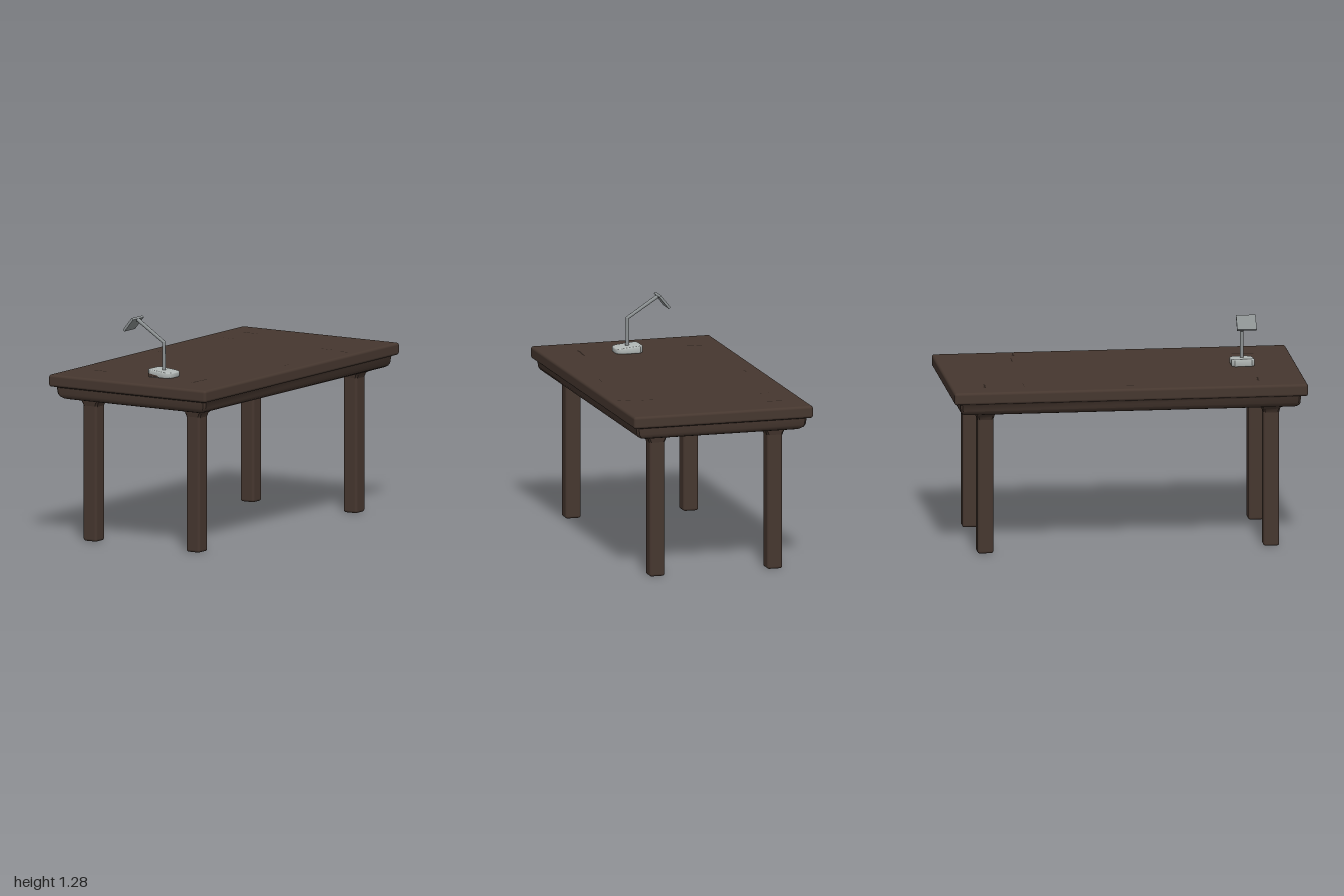
import * as THREE from 'three';
import { toCreasedNormals } from 'three/addons/utils/BufferGeometryUtils.js';
import { RoundedBoxGeometry } from 'three/addons/geometries/RoundedBoxGeometry.js';

const material = (name, color) => {
  const m = new THREE.MeshStandardMaterial({ color });
  m.name = name;
  return m;
};

// Stack of chamfered rectangles; each ring is [y, halfX, halfZ], bottom to top
function loft(rings, chamfer) {
  const pos = [], idx = [];
  const n = 8;
  for (const [y, a, b] of rings) {
    const c = chamfer;
    for (const [x, z] of [[a, b - c], [a, c - b], [a - c, -b], [c - a, -b],
      [-a, c - b], [-a, b - c], [c - a, b], [a - c, b]]) pos.push(x, y, z);
  }
  for (let r = 0; r < rings.length - 1; r++) {
    for (let i = 0; i < n; i++) {
      const p = r * n + i, q = r * n + (i + 1) % n;
      idx.push(p, q, q + n, p, q + n, p + n);
    }
  }
  const top = (rings.length - 1) * n;
  for (let i = 1; i < n - 1; i++) {
    idx.push(0, i + 1, i);
    idx.push(top, top + i, top + i + 1);
  }
  const g = new THREE.BufferGeometry();
  g.setAttribute('position', new THREE.Float32BufferAttribute(pos, 3));
  g.setIndex(idx);
  return toCreasedNormals(g, 0.7);
}

export function createModel() {
  const model = new THREE.Group();
  model.name = 'tableWithLamp';
  const wood = material('darkWood', 0x46372f);
  const crackWood = material('crackWood', 0x2a201b);
  const metal = material('greyMetal', 0x8c9192);
  const paleMetal = material('paleMetal', 0xb2b8b6);

  const add = (parent, name, geometry, mat, x = 0, y = 0, z = 0) => {
    const mesh = new THREE.Mesh(geometry, mat);
    mesh.name = name;
    mesh.position.set(x, y, z);
    parent.add(mesh);
    return mesh;
  };

  // Table top and the moulding beneath it
  add(model, 'tableTop', new RoundedBoxGeometry(1.052, 0.069, 2, 3, 0.015), wood, 0, 0.919, 0);
  add(model, 'moulding', loft([
    [0.812, 0.45, 0.93], [0.817, 0.468, 0.945], [0.827, 0.485, 0.955],
    [0.842, 0.495, 0.96], [0.878, 0.5, 0.963], [0.892, 0.512, 0.98],
  ], 0.012), wood);

  // Four legs with flared collars
  const legShape = new RoundedBoxGeometry(0.09, 0.83, 0.09, 3, 0.014);
  const collarShape = loft([
    [0.765, 0.044, 0.044], [0.79, 0.053, 0.049], [0.815, 0.085, 0.054],
  ], 0.01);
  for (const sx of [-1, 1]) {
    for (const sz of [-1, 1]) {
      const leg = new THREE.Group();
      leg.name = (sz > 0 ? 'front' : 'back') + (sx > 0 ? 'Left' : 'Right') + 'Leg';
      leg.position.set(sx * 0.345, 0, sz * 0.808);
      add(leg, 'post', legShape, wood, 0, 0.415, 0);
      add(leg, 'collar', collarShape, wood);
      model.add(leg);
    }
  }

  // Worn cracks in the table top: x, z, length, width, turned
  const cracks = [
    [-0.35, -0.81, 0.1, 0.022, 0], [0.45, -0.55, 0.08, 0.02, 0],
    [0.31, -0.575, 0.1, 0.01, 0], [-0.35, 0.735, 0.1, 0.022, 0],
    [0.31, 0.725, 0.16, 0.022, 1], [0.42, 0, 0.06, 0.01, 1],
    [-0.43, 0, 0.06, 0.008, 1], [-0.35, -0.59, 0.08, 0.005, 0],
  ];
  for (const [x, z, l, w, turned] of cracks) {
    const s = new THREE.Shape([[-0.5, 0.2], [-0.42, -0.3], [-0.1, -0.15], [0.3, -0.4],
      [0.5, -0.1], [0.38, 0.1], [0, 0.15], [-0.25, 0.45]]
      .map(([u, v]) => new THREE.Vector2(u * l, v * w)));
    const crack = add(model, 'crack', new THREE.ShapeGeometry(s), crackWood, x, 0.9545, z);
    crack.rotation.set(-Math.PI / 2, 0, turned * Math.PI / 2);
  }

  // Desk lamp
  const lamp = new THREE.Group();
  lamp.name = 'lamp';
  lamp.position.set(0, 0, 0.695);
  model.add(lamp);

  // Base: square at one end, rounded at the other, sloping down toward +x
  const outline = new THREE.Shape();
  outline.moveTo(-0.018, -0.045);
  outline.lineTo(-0.006, -0.059);
  outline.lineTo(0.08, -0.059);
  outline.quadraticCurveTo(0.12, -0.056, 0.124, -0.03);
  outline.lineTo(0.124, 0.03);
  outline.quadraticCurveTo(0.12, 0.056, 0.08, 0.059);
  outline.lineTo(-0.006, 0.059);
  outline.lineTo(-0.018, 0.045);
  const base = new THREE.ExtrudeGeometry(outline, {
    depth: 0.026, bevelSize: 0.006, bevelThickness: 0.006, bevelSegments: 3, curveSegments: 8,
  });
  base.rotateX(-Math.PI / 2);
  const p = base.attributes.position;
  for (let i = 0; i < p.count; i++) {
    if (p.getY(i) > 0.013) p.setY(i, p.getY(i) + 0.004 - 0.09 * p.getX(i));
  }
  add(lamp, 'lampBase', toCreasedNormals(base, 0.7), paleMetal, 0, 0.959, 0);

  // Dark worn patch low on the front of the base
  const patch = new THREE.Shape([[-0.012, 0], [0.06, 0], [0.045, 0.009], [0.015, 0.013], [-0.012, 0.018]]
    .map(([x, y]) => new THREE.Vector2(x, y)));
  add(lamp, 'basePatch', new THREE.ShapeGeometry(patch), wood, 0, 0.957, 0.0657);

  // Stem, elbow and arm
  const rod = (name, a, b, r0, r1) => {
    const d = b.clone().sub(a);
    const mesh = add(lamp, name, new THREE.CylinderGeometry(r1, r0, d.length(), 12), metal);
    mesh.position.copy(a).add(b).multiplyScalar(0.5);
    mesh.quaternion.setFromUnitVectors(new THREE.Vector3(0, 1, 0), d.normalize());
  };
  const foot = new THREE.Vector3(0.052, 0.975, 0);
  const elbow = new THREE.Vector3(0.051, 1.147, 0);
  const tip = new THREE.Vector3(-0.125, 1.26, 0);
  rod('lampStem', foot, elbow, 0.0105, 0.0095);
  rod('lampArm', elbow, tip, 0.0095, 0.011);
  add(lamp, 'lampElbow', new THREE.SphereGeometry(0.0098, 12, 8), metal, elbow.x, elbow.y, 0);

  // Flat rectangular lamp head
  const head = add(lamp, 'lampHead', new THREE.BoxGeometry(0.092, 0.014, 0.11), metal, -0.155, 1.235, 0);
  head.rotation.z = Math.atan2(0.068, 0.055);

  return model;
}
